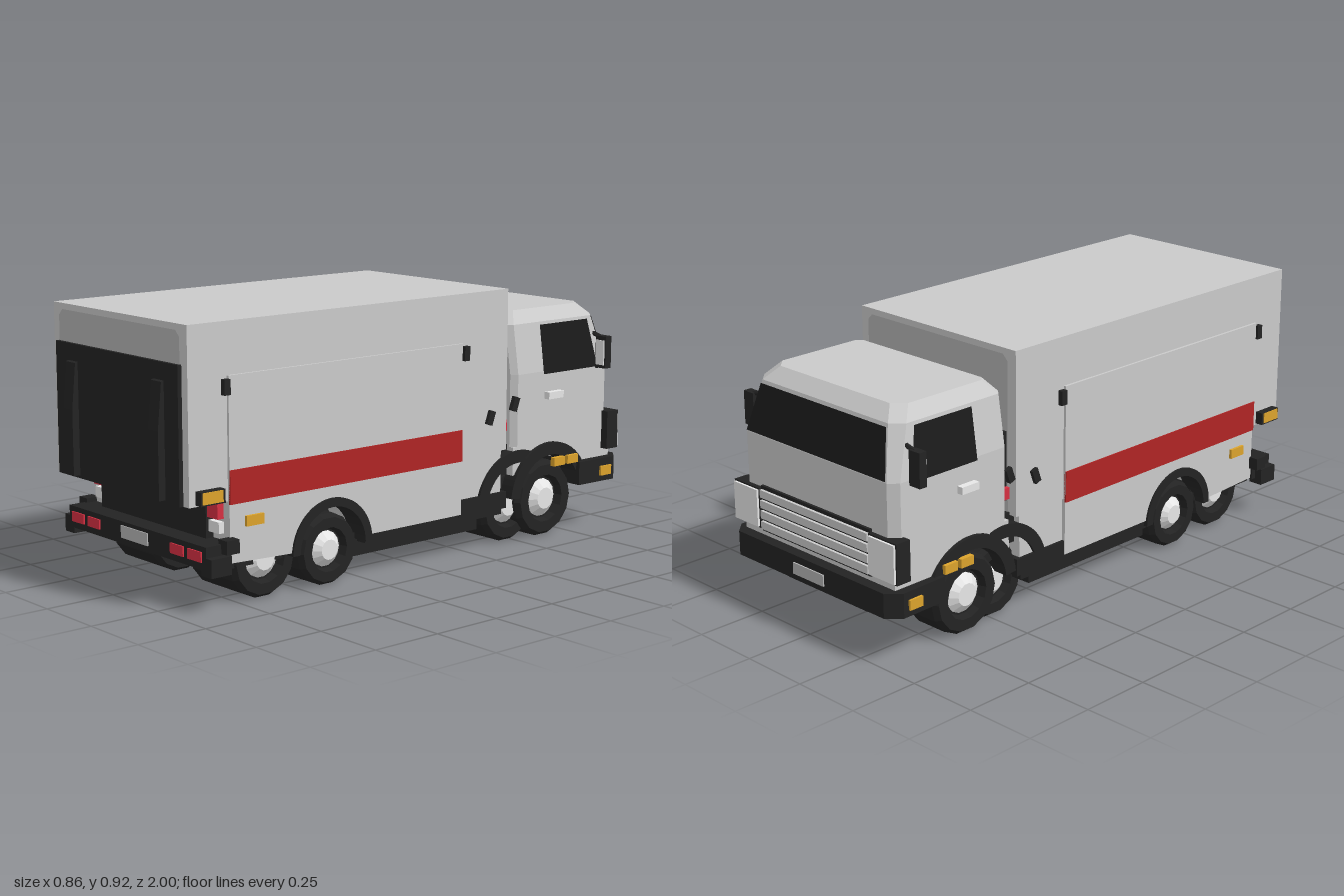
import * as THREE from 'three';

export function createModel() {
  const truck = new THREE.Group();
  truck.name = 'boxTruck';
  const mat = (name, color, flat = true) => {
    const m = new THREE.MeshStandardMaterial({ color, flatShading: flat, side: THREE.DoubleSide });
    m.name = name;
    return m;
  };
  const grey = mat('bodyGrey', 0xcacaca);
  const panelGrey = mat('panelGrey', 0xb4b4b4);
  const white = mat('white', 0xe6e6e6);
  const black = mat('black', 0x232323);
  const glass = mat('glass', 0x1b1b1b);
  const stripeRed = mat('stripeRed', 0xb02424);
  const lampRed = mat('lampRed', 0xd63042);
  const amber = mat('amber', 0xdca32c);

  const add = (name, geo, m) => {
    const mesh = new THREE.Mesh(geo, m);
    mesh.name = name;
    truck.add(mesh);
    return mesh;
  };
  // Box given by its limits on each axis
  const box = (name, m, x0, x1, y0, y1, z0, z1) =>
    add(name, new THREE.BoxGeometry(x1 - x0, y1 - y0, z1 - z0)
      .translate((x0 + x1) / 2, (y0 + y1) / 2, (z0 + z1) / 2), m);
  // Mirrored pair of boxes
  const pair = (name, m, x0, x1, y0, y1, z0, z1) => {
    box(name + 'Left', m, x0, x1, y0, y1, z0, z1);
    box(name + 'Right', m, -x1, -x0, y0, y1, z0, z1);
  };
  // Flat polygon from 3D corners
  const plate = (name, m, pts) => {
    const g = new THREE.BufferGeometry();
    g.setAttribute('position', new THREE.Float32BufferAttribute(pts.flat(), 3));
    const idx = [];
    for (let i = 1; i < pts.length - 1; i++) idx.push(0, i, i + 1);
    g.setIndex(idx);
    g.computeVertexNormals();
    return add(name, g, m);
  };
  // Side profile (z, y) extruded across x
  const sideExtrude = (name, m, shape, x0, x1) =>
    add(name, new THREE.ExtrudeGeometry(shape, { depth: x1 - x0, bevelEnabled: false, curveSegments: 12 })
      .rotateY(-Math.PI / 2).translate(x1, 0, 0), m);
  // Half ring wheel arch
  const arch = (name, z, y, r0, r1, x0, x1, a0 = 0, a1 = Math.PI) => {
    const s = new THREE.Shape();
    s.absarc(z, y, r1, a0, a1, false);
    s.absarc(z, y, r0, a1, a0, true);
    sideExtrude(name + 'Left', black, s, x0, x1);
    sideExtrude(name + 'Right', black, s, -x1, -x0);
  };

  // Cargo box
  box('cargoBox', grey, -0.37, 0.37, 0.35, 0.92, -0.42, 0.96);
  pair('sideShutter', grey, 0.369, 0.379, 0.35, 0.75, -0.195, 0.81);
  pair('sideStripe', stripeRed, 0.376, 0.383, 0.34, 0.45, -0.195, 0.81);
  for (const z of [-0.965, 0]) {
    const zz = z ? -0.423 : 0.963;
    plate(z ? 'frontInset' : 'rearInset', panelGrey, [[-0.335, 0.36, zz], [0.335, 0.36, zz],
      [0.335, 0.88, zz], [0.315, 0.9, zz], [-0.315, 0.9, zz], [-0.335, 0.88, zz]]);
  }
  for (const z of [-0.21, 0.82]) pair('shutterStop', black, 0.37, 0.388, 0.69, 0.74, z - 0.012, z + 0.012);

  // Lower body with rear wheel arches
  const low = new THREE.Shape();
  low.moveTo(-0.195, 0.15);
  low.lineTo(0.23, 0.15);
  low.absarc(0.39, 0.14, 0.15, Math.PI, 0, true);
  low.lineTo(0.81, 0.15);
  low.lineTo(0.81, 0.352);
  low.lineTo(-0.195, 0.352);
  low.closePath();
  sideExtrude('lowerBody', grey, low, -0.378, 0.378);
  box('frontLocker', grey, -0.365, 0.365, 0.2, 0.352, -0.4, -0.19);
  pair('step', black, 0.3, 0.375, 0.14, 0.2, -0.42, -0.19);
  arch('rearArch', 0.39, 0.13, 0.14, 0.17, 0.3, 0.386);
  pair('sill', black, 0.3, 0.37, 0.12, 0.155, -0.4, 0.24);

  // Chassis
  box('underTray', black, -0.33, 0.33, 0.07, 0.15, -0.32, 0.26);
  box('frame', black, -0.2, 0.2, 0.12, 0.24, -0.92, 0.84);
  box('rearCrossbar', black, -0.34, 0.34, 0.12, 0.16, 0.5, 0.84);

  // Tail lift
  box('tailLift', black, -0.34, 0.34, 0.35, 0.795, 0.955, 0.975);
  for (const x of [-0.24, 0.24]) {
    const rib = new THREE.Shape([[0.97, 0.36], [1, 0.36], [1, 0.58], [0.985, 0.735], [0.97, 0.74]]
      .map(p => new THREE.Vector2(...p)));
    sideExtrude('liftRib', black, rib, x - 0.027, x + 0.027);
  }
  box('liftBase', black, -0.293, 0.293, 0.2, 0.35, 0.8, 0.84);
  pair('tailLamp', lampRed, 0.293, 0.347, 0.29, 0.345, 0.8, 0.835);
  pair('reverseLamp', white, 0.293, 0.347, 0.243, 0.28, 0.8, 0.83);

  // Rear bumper and lamps
  box('rearBumper', black, -0.385, 0.385, 0.145, 0.22, 0.81, 0.91);
  pair('bumperEnd', black, 0.36, 0.413, 0.125, 0.185, 0.83, 0.91);
  pair('bumperCap', black, 0.37, 0.415, 0.19, 0.235, 0.8, 0.85);
  pair('bumperLampOuter', lampRed, 0.293, 0.365, 0.168, 0.202, 0.9, 0.915);
  pair('bumperLampInner', lampRed, 0.2, 0.27, 0.168, 0.202, 0.9, 0.915);
  box('rearPlate', panelGrey, -0.075, 0.075, 0.165, 0.207, 0.908, 0.914);

  // Amber side markers
  pair('rearMarkerMount', black, 0.36, 0.398, 0.355, 0.4, 0.84, 0.935);
  pair('rearMarker', amber, 0.392, 0.401, 0.36, 0.398, 0.85, 0.93);
  pair('sideMarker', amber, 0.375, 0.388, 0.262, 0.296, 0.68, 0.75);
  pair('frontMarker', amber, 0.38, 0.398, 0.262, 0.293, -0.695, -0.64);
  pair('turnMarker', amber, 0.38, 0.398, 0.262, 0.293, -0.765, -0.71);
  pair('bumperMarker', amber, 0.39, 0.412, 0.197, 0.232, -0.93, -0.875);

  // Cab shell lofted from chamfered rings: y, half width, back z, front z, chamfer
  const rows = [[0.35, 0.372, -0.455, -0.955, 0.03], [0.61, 0.372, -0.455, -0.955, 0.03],
    [0.785, 0.345, -0.455, -0.91, 0.04], [0.83, 0.305, -0.49, -0.865, 0.04]];
  const pos = [], idx = [];
  for (const [y, w, b, f, c] of rows) {
    for (const [x, z] of [[w, b - 0.02], [w, f + c], [w - c, f], [c - w, f], [-w, f + c], [-w, b - 0.02],
      [0.02 - w, b], [w - 0.02, b]]) pos.push(x, y, z);
  }
  for (let r = 0; r < rows.length - 1; r++) for (let i = 0; i < 8; i++) {
    const a = r * 8 + i, b = r * 8 + (i + 1) % 8;
    idx.push(a, b, b + 8, a, b + 8, a + 8);
  }
  for (let i = 1; i < 7; i++) idx.push(24, 24 + i, 25 + i, 0, i + 1, i);
  const cab = new THREE.BufferGeometry();
  cab.setAttribute('position', new THREE.Float32BufferAttribute(pos, 3));
  cab.setIndex(idx);
  cab.computeVertexNormals();
  add('cabShell', cab, grey);

  // Lower cab with front wheel arch
  const lc = new THREE.Shape();
  lc.moveTo(-0.955, 0.24);
  lc.lineTo(-0.785, 0.24);
  lc.absarc(-0.635, 0.15, 0.175, Math.PI * 0.83, Math.PI * 0.2, true);
  lc.lineTo(-0.455, 0.25);
  lc.lineTo(-0.455, 0.352);
  lc.lineTo(-0.955, 0.352);
  lc.closePath();
  sideExtrude('cabLower', grey, lc, -0.371, 0.371);
  arch('frontArch', -0.635, 0.15, 0.155, 0.2, 0.3, 0.385, 0.1, Math.PI * 0.9);
  arch('innerFender', -0.48, 0.14, 0.155, 0.2, 0.25, 0.375, 0.2, Math.PI * 0.6);

  // Glass
  plate('windscreen', glass, [[-0.34, 0.615, -0.958], [0.34, 0.615, -0.958], [0.305, 0.775, -0.918], [-0.305, 0.775, -0.918]]);
  for (const s of [1, -1]) {
    plate('sideWindow', glass, [[s * 0.377, 0.6, -0.6], [s * 0.352, 0.775, -0.6],
      [s * 0.352, 0.775, -0.845], [s * 0.377, 0.6, -0.88]]);
    // Mirror arms
    for (const [y0, y1] of [[0.735, 0.705], [0.575, 0.61]]) {
      const path = new THREE.LineCurve3(new THREE.Vector3(s * 0.35, s ? (y0 + y1) / 2 : 0, -0.88), new THREE.Vector3(s * 0.41, y1, -0.88));
      add('mirrorArm', new THREE.TubeGeometry(path, 1, 0.008, 6), black);
    }
  }
  pair('mirror', black, 0.38, 0.428, 0.598, 0.715, -0.895, -0.865);
  pair('mirrorFace', white, 0.386, 0.423, 0.61, 0.7, -0.866, -0.86);
  pair('doorHandle', white, 0.37, 0.395, 0.51, 0.535, -0.685, -0.61);

  // Gap between cab and box
  pair('airIntake', black, 0.26, 0.33, 0.4, 0.64, -0.46, -0.415);
  pair('gapLamp', lampRed, 0.28, 0.345, 0.41, 0.45, -0.45, -0.425);
  box('cabBackSill', black, -0.34, 0.34, 0.25, 0.36, -0.46, -0.4);
  for (const s of [1, -1]) for (const [z, y] of [[-0.335, 0.475], [-0.455, 0.51]]) {
    const latch = box('latch', black, -0.008, 0.008, -0.025, 0.025, -0.013, 0.013);
    latch.position.set(s * 0.375, y, z);
    latch.rotation.x = -0.35;
  }

  // Nose: headlamps, grille, bumper
  pair('headlampHousing', black, 0.27, 0.4, 0.29, 0.43, -0.972, -0.915);
  pair('headlamp', white, 0.275, 0.395, 0.295, 0.425, -0.98, -0.971);
  box('grilleBack', black, -0.27, 0.27, 0.28, 0.44, -0.965, -0.945);
  for (let i = 0; i < 4; i++)
    box('grilleBar', grey, -0.265, 0.265, 0.29 + i * 0.037, 0.317 + i * 0.037, -0.975, -0.96);
  const bumper = new THREE.Shape([[-0.4, 0.77], [-0.405, 0.95], [-0.36, 0.995], [0.36, 0.995], [0.405, 0.95], [0.4, 0.77]]
    .map(p => new THREE.Vector2(...p)));
  add('frontBumper', new THREE.ExtrudeGeometry(bumper, { depth: 0.085, bevelEnabled: false })
    .rotateX(-Math.PI / 2).translate(0, 0.175, 0), black);
  box('frontPlate', panelGrey, -0.075, 0.075, 0.195, 0.235, -1, -0.994);

  // Wheels
  const wheel = (z, r, x0, x1) => {
    const w = x1 - x0, tyre = new THREE.LatheGeometry([[0.03, -w / 2], [r * 0.9, -w / 2], [r, -w / 2 + 0.02],
      [r, w / 2 - 0.02], [r * 0.9, w / 2], [r * 0.62, w / 2], [r * 0.55, w / 2 - 0.025], [0.001, w / 2 - 0.025]]
      .map(p => new THREE.Vector2(...p)), 14);
    const hub = new THREE.CylinderGeometry(r * 0.28, r * 0.5, 0.025, 14).translate(0, w / 2 - 0.012, 0);
    for (const s of [1, -1]) {
      const g = new THREE.Group();
      g.name = 'wheel';
      for (const [n, geo, m] of [['tyre', tyre, black], ['hub', hub, white]]) {
        const mesh = new THREE.Mesh(geo, m);
        mesh.name = n;
        g.add(mesh);
      }
      g.rotation.z = -s * Math.PI / 2;
      g.position.set(s * (x0 + x1) / 2, r, z);
      truck.add(g);
    }
  };
  wheel(-0.635, 0.14, 0.2, 0.36);
  wheel(-0.48, 0.13, 0.095, 0.33);
  wheel(0.39, 0.122, 0.2, 0.365);
  wheel(0.645, 0.13, 0.095, 0.347);
  for (const z of [-0.635, 0.39, 0.645])
    add('axle', new THREE.CylinderGeometry(0.03, 0.03, 0.6, 8).rotateZ(Math.PI / 2).translate(0, 0.12, z), black);

  return truck;
}
